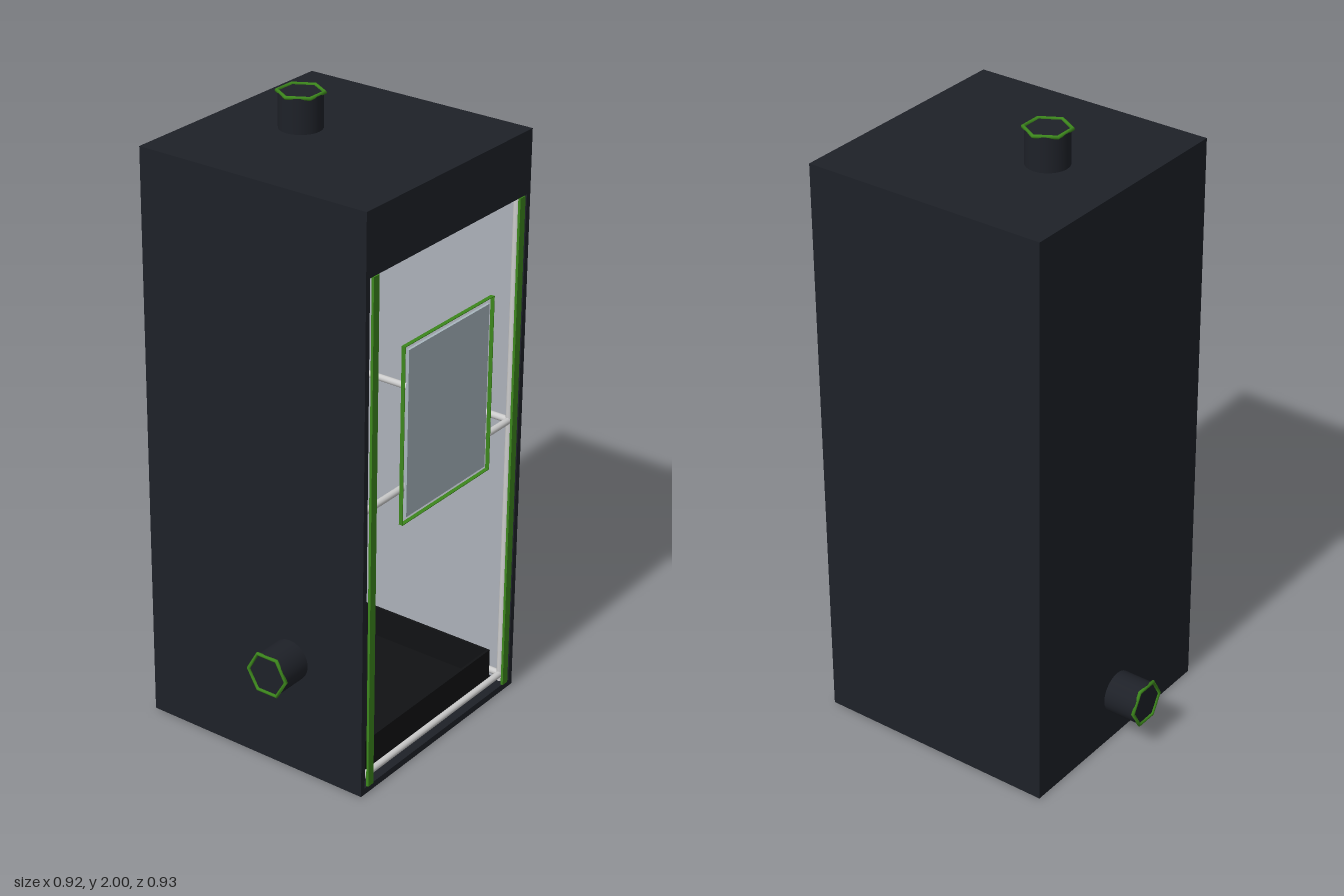
import * as THREE from 'three';

const mat = (color) => new THREE.MeshStandardMaterial({ color });
const FABRIC = mat(0x1e2128), LINER = mat(0xacb1b9), GREEN = mat(0x3c861c);
const POLE = mat(0xcccccc), TRAY = mat(0x111214), PANE = mat(0xa8b6be);

// Outer limits of the tent
const X0 = -0.345, X1 = 0.458, Y1 = 1.885, Z0 = -0.35, Z1 = 0.455;
const CX = (X0 + X1) / 2, CZ = (Z0 + Z1) / 2;

export function createModel() {
  const root = new THREE.Group();

  const group = (name) => {
    const g = new THREE.Group();
    g.name = name;
    root.add(g);
    return g;
  };
  // Box given by its limits on each axis
  const box = (parent, name, m, [xa, xb], [ya, yb], [za, zb]) => {
    const mesh = new THREE.Mesh(new THREE.BoxGeometry(xb - xa, yb - ya, zb - za), m);
    mesh.position.set((xa + xb) / 2, (ya + yb) / 2, (za + zb) / 2);
    mesh.name = name;
    parent.add(mesh);
  };
  const up = new THREE.Vector3(0, 1, 0);
  const pole = (parent, name, a, b) => {
    const p = new THREE.Vector3(...a), q = new THREE.Vector3(...b);
    const d = q.clone().sub(p);
    const mesh = new THREE.Mesh(new THREE.CylinderGeometry(0.011, 0.011, d.length(), 12), POLE);
    mesh.position.copy(p).add(q).multiplyScalar(0.5);
    mesh.quaternion.setFromUnitVectors(up, d.normalize());
    mesh.name = name;
    parent.add(mesh);
  };

  // Fabric shell, open at the front
  const t = 0.008, shell = group('shell');
  box(shell, 'rightWall', FABRIC, [X0, X0 + t], [0, Y1], [Z0, Z1]);
  box(shell, 'leftWall', FABRIC, [X1 - t, X1], [0, Y1], [Z0, Z1]);
  box(shell, 'backWall', FABRIC, [X0, X1], [0, Y1], [Z0, Z0 + t]);
  box(shell, 'roof', FABRIC, [X0, X1], [Y1 - t, Y1], [Z0, Z1]);
  box(shell, 'floor', FABRIC, [X0, X1], [0, t], [Z0, Z1]);

  // Front border around the doorway
  box(shell, 'header', FABRIC, [X0, X1], [1.685, Y1], [Z1 - t, Z1]);
  box(shell, 'sill', FABRIC, [X0, X1], [0, 0.022], [Z1 - t, Z1]);
  box(shell, 'rightBorder', FABRIC, [X0, X0 + 0.018], [0, Y1], [Z1 - t, Z1]);
  box(shell, 'leftBorder', FABRIC, [X1 - 0.018, X1], [0, Y1], [Z1 - t, Z1]);

  // Reflective lining
  const l = 2 * t - 0.004, liner = group('liner');
  box(liner, 'rightLining', LINER, [X0 + t, X0 + l], [t, Y1 - t], [Z0 + t, Z1 - t]);
  box(liner, 'leftLining', LINER, [X1 - l, X1 - t], [t, Y1 - t], [Z0 + t, Z1 - t]);
  box(liner, 'backLining', LINER, [X0 + t, X1 - t], [t, Y1 - t], [Z0 + t, Z0 + l]);
  box(liner, 'roofLining', LINER, [X0 + t, X1 - t], [Y1 - l, Y1 - t], [Z0 + t, Z1 - t]);

  // Pole frame: four posts and three levels of rails
  const frame = group('poleFrame');
  const xs = [X0 + 0.03, X1 - 0.03], zs = [Z0 + 0.03, Z1 - 0.025];
  for (const x of xs) for (const z of zs) pole(frame, 'cornerPost', [x, 0.02, z], [x, 1.86, z]);
  for (const y of [0.043, 0.946, 1.855]) {
    for (const z of zs) pole(frame, 'crossRail', [xs[0], y, z], [xs[1], y, z]);
    for (const x of xs) pole(frame, 'sideRail', [x, y, zs[0]], [x, y, zs[1]]);
  }

  // Shallow floor tray
  const tray = group('floorTray'), h = 0.35, w = 0.008, ty = [0.01, 0.13];
  box(tray, 'trayBase', TRAY, [CX - h, CX + h], [0.01, 0.025], [CZ - h, CZ + h]);
  for (const s of [-1, 1]) {
    const x = CX + s * (h - w / 2), z = CZ + s * (h - w / 2);
    box(tray, 'traySide', TRAY, [x - w / 2, x + w / 2], ty, [CZ - h, CZ + h]);
    box(tray, 'trayEnd', TRAY, [CX - h, CX + h], ty, [z - w / 2, z + w / 2]);
  }

  // Door zips
  for (const s of [-1, 1]) {
    const x = CX + s * 0.358;
    box(root, 'zip', GREEN, [x - 0.013, x + 0.013], [0.022, 1.685], [Z1 - 0.004, Z1 + 0.004]);
  }

  // Window pane with a thin, edge-on rim
  const win = group('window'), wx = [-0.165, 0.277], wy = [0.85, 1.42], wz = [Z1 - 0.006, Z1 + 0.007];
  box(win, 'pane', PANE, [-0.145, 0.255], [0.868, 1.403], [Z1 - 0.003, Z1 + 0.005]);
  for (const x of wx) box(win, 'rimSide', GREEN, [x - 0.001, x + 0.001], wy, wz);
  for (const y of wy) box(win, 'rimEnd', GREEN, wx, [y - 0.001, y + 0.001], wz);

  // Duct sleeves: pointing along local +z, with a hexagonal drawstring ring
  const duct = (name, pos, rx, ry) => {
    const g = group(name);
    const sleeve = new THREE.Mesh(new THREE.CylinderGeometry(0.067, 0.067, 0.115, 24), FABRIC);
    sleeve.rotation.x = Math.PI / 2;
    sleeve.position.z = 0.0515;
    sleeve.name = 'sleeve';
    const ring = new THREE.Mesh(new THREE.TorusGeometry(0.07, 0.006, 8, 6), GREEN);
    ring.position.z = 0.109;
    ring.name = 'drawstring';
    g.add(sleeve, ring);
    g.position.set(...pos);
    g.rotation.set(rx, ry, 0);
  };
  duct('topDuct', [CX, Y1, -0.081], -Math.PI / 2, 0);
  duct('sideDuct', [X0, 0.38, 0.187], 0, -Math.PI / 2);
  duct('backDuct', [CX, 0.163, Z0], 0, Math.PI);

  return root;
}
